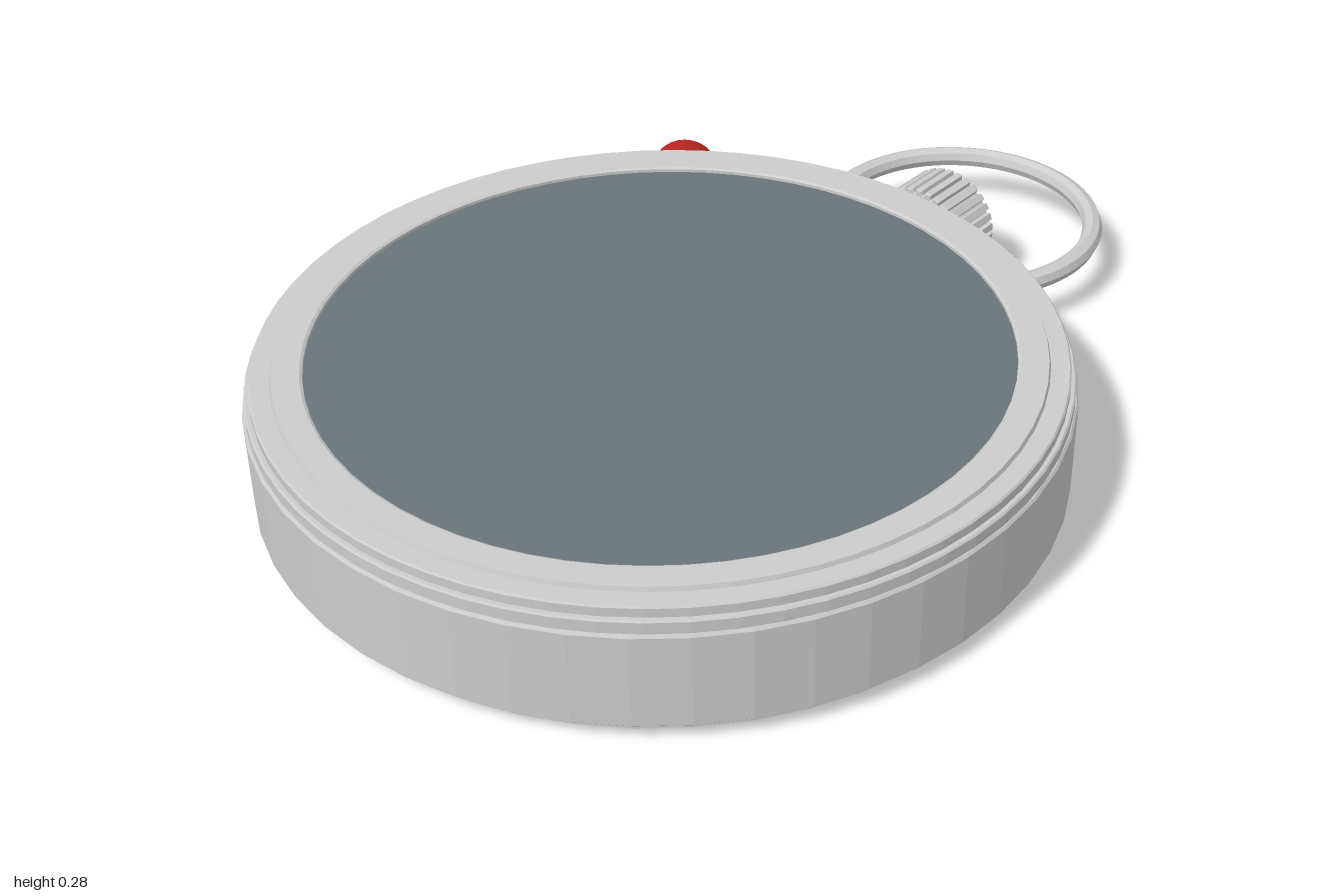
import * as THREE from 'three';
import { RoundedBoxGeometry } from 'three/addons/geometries/RoundedBoxGeometry.js';

const CZ = 0.245; // centre of the case
const AXIS_Y = 0.128; // height of crown and button

const paint = (color, side = THREE.FrontSide) =>
  new THREE.MeshStandardMaterial({ color, flatShading: true, side });

function addMesh(parent, name, geometry, material, x = 0, y = 0, z = 0) {
  const mesh = new THREE.Mesh(geometry, material);
  mesh.name = name;
  mesh.position.set(x, y, z);
  parent.add(mesh);
  return mesh;
}

const lathe = (points, sides) =>
  new THREE.LatheGeometry(points.map(([r, y]) => new THREE.Vector2(r, y)), sides);

// Outline of a knurled wheel with square teeth
function knurlShape(teeth, outer, root) {
  const points = [];
  for (let i = 0; i < teeth; i++) {
    [[0, root], [0.35, root], [0.45, outer], [0.9, outer]].forEach(([f, r]) => {
      const a = ((i + f) / teeth) * Math.PI * 2;
      points.push(new THREE.Vector2(Math.cos(a) * r, Math.sin(a) * r));
    });
  }
  return new THREE.Shape(points);
}

export function createModel() {
  const model = new THREE.Group();
  model.name = 'stopwatch';
  const grey = paint(0xcccccc);
  const red = paint(0xb3261e);
  const dark = paint(0x222222);

  // Case with a recessed floor for the back plate
  addMesh(model, 'case', lathe([
    [0, 0.018], [0.682, 0.018], [0.682, 0.004], [0.72, 0.004], [0.725, 0.008],
    [0.725, 0.032], [0.746, 0.032], [0.751, 0.037], [0.751, 0.217], [0.747, 0.222], [0.7, 0.222],
  ], 48), grey, 0, 0, CZ);

  // Stepped bezel around the glass
  addMesh(model, 'bezel', lathe([
    [0.72, 0.222], [0.745, 0.222], [0.745, 0.244], [0.742, 0.247], [0.735, 0.247],
    [0.735, 0.264], [0.732, 0.267], [0.698, 0.267], [0.695, 0.275], [0.645, 0.275],
    [0.64, 0.272], [0.64, 0.245],
  ], 64), paint(0xcccccc, THREE.DoubleSide), 0, 0, CZ);

  addMesh(model, 'glass', new THREE.CylinderGeometry(0.641, 0.641, 0.02, 64),
    paint(0x6a7478), 0, 0.256, CZ);

  // Back plate with two opening slots
  const plate = new THREE.Shape().absarc(0, 0, 0.678, 0, Math.PI * 2);
  for (const s of [-1, 1]) {
    const slot = new THREE.Path();
    const x0 = s * 0.54 - 0.04;
    slot.moveTo(x0, -0.008).lineTo(x0, 0.008).lineTo(x0 + 0.08, 0.008).lineTo(x0 + 0.08, -0.008);
    slot.closePath();
    plate.holes.push(slot);
    addMesh(model, 'slotFloor', new THREE.BoxGeometry(0.085, 0.006, 0.02), dark, s * 0.54, 0.014, CZ);
  }
  const backPlate = new THREE.ExtrudeGeometry(plate, { depth: 0.018, bevelEnabled: false, curveSegments: 32 });
  backPlate.rotateX(Math.PI / 2);
  addMesh(model, 'backPlate', backPlate, grey, 0, 0.018, CZ);

  // Winding crown: knurled wheel, collar and neck
  const crown = new THREE.Group();
  crown.name = 'crown';
  crown.position.set(0, AXIS_Y, 0);
  model.add(crown);
  const wheel = new THREE.ExtrudeGeometry(knurlShape(30, 0.107, 0.098), {
    depth: 0.108, bevelEnabled: true, bevelThickness: 0.004, bevelSize: 0.002, bevelSegments: 1,
  });
  addMesh(crown, 'crownWheel', wheel, grey, 0, 0, -0.661);
  addMesh(crown, 'crownCollar', new THREE.CylinderGeometry(0.083, 0.083, 0.03, 32)
    .rotateX(Math.PI / 2), grey, 0, 0, -0.538);
  addMesh(crown, 'crownNeck', new THREE.CylinderGeometry(0.055, 0.055, 0.08, 24)
    .rotateX(Math.PI / 2), grey, 0, 0, -0.49);

  // Side push button, pointing outwards from the case centre
  const button = new THREE.Group();
  button.name = 'pushButton';
  button.position.set(0, AXIS_Y + 0.005, CZ);
  button.rotation.set(-Math.PI / 2, 0, THREE.MathUtils.degToRad(38.5));
  model.add(button);
  // name, radius, inner end, outer end, material
  [
    ['buttonBase', 0.062, 0.72, 0.765, grey],
    ['buttonSleeve', 0.045, 0.76, 0.785, grey],
    ['buttonStem', 0.029, 0.78, 0.86, grey],
  ].forEach(([name, r, from, to, material]) =>
    addMesh(button, name, new THREE.CylinderGeometry(r, r, to - from, 24), material, 0, (from + to) / 2));
  addMesh(button, 'buttonCap', lathe([
    [0, 0.853], [0.064, 0.853], [0.069, 0.858], [0.069, 0.9], [0.064, 0.905], [0, 0.905],
  ], 28), red);

  // Carrying ring: open hoop ending in the two lugs
  const R = 0.279;
  const gap = Math.asin(0.18 / R);
  const hoop = new THREE.TorusGeometry(R, 0.021, 8, 64, Math.PI * 2 - 2 * gap);
  hoop.rotateZ(-Math.PI / 2 + gap).rotateX(-Math.PI / 2);
  addMesh(model, 'carryingRing', hoop, grey, 0, 0.104, -0.70);
  for (const s of [-1, 1]) {
    const lug = addMesh(model, 'ringLug', new RoundedBoxGeometry(0.08, 0.076, 0.09, 2, 0.01),
      grey, s * 0.165, 0.108, -0.487);
    lug.rotation.y = -s * 0.05;
  }
  return model;
}
